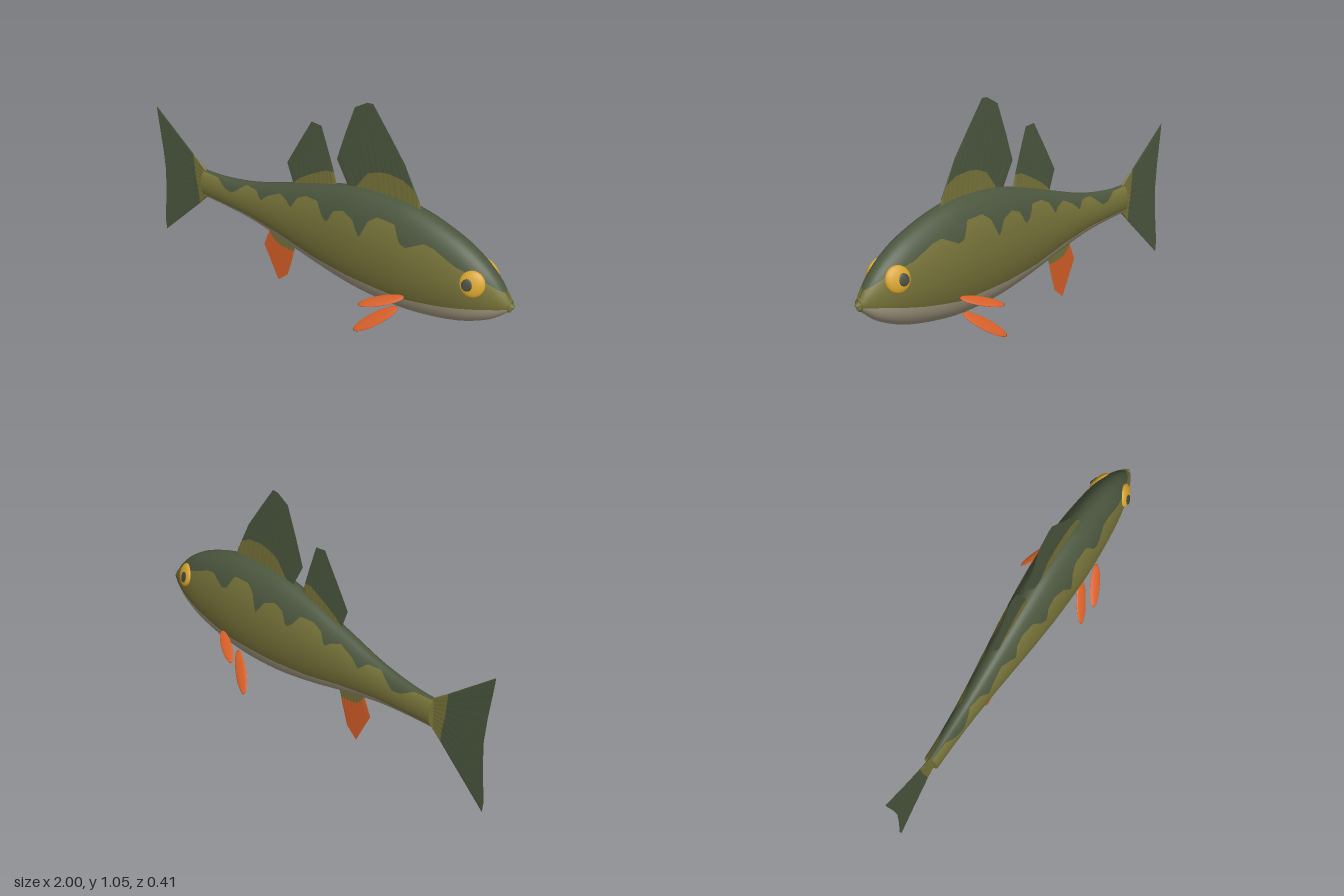
import * as THREE from 'three';

const mat = (name, color, side = THREE.FrontSide) => {
  const m = new THREE.MeshStandardMaterial({ color, side });
  m.name = name;
  return m;
};

// Body stations: x, top, bottom, half width
const BODY = [
  [-0.70, 0.44, 0.30, 0.034], [-0.60, 0.443, 0.296, 0.037], [-0.40, 0.475, 0.278, 0.05],
  [-0.20, 0.535, 0.237, 0.07], [0.0, 0.60, 0.19, 0.091], [0.20, 0.65, 0.155, 0.108],
  [0.37, 0.663, 0.145, 0.115], [0.50, 0.655, 0.15, 0.115], [0.70, 0.598, 0.185, 0.101],
  [0.80, 0.55, 0.217, 0.086], [0.90, 0.475, 0.268, 0.058], [0.96, 0.405, 0.318, 0.031],
  [0.98, 0.375, 0.338, 0.018], [0.995, 0.361, 0.351, 0.005],
];
// Lower edge of the dark back: x, y
const BACK_EDGE = [
  [-0.70, 0.437], [-0.60, 0.435], [-0.54, 0.405], [-0.50, 0.40], [-0.46, 0.43], [-0.42, 0.46],
  [-0.35, 0.463], [-0.31, 0.43], [-0.27, 0.465], [-0.20, 0.50], [-0.15, 0.487], [-0.12, 0.465],
  [-0.09, 0.52], [-0.04, 0.545], [0.03, 0.548], [0.07, 0.497], [0.10, 0.48], [0.13, 0.54],
  [0.18, 0.56], [0.24, 0.54], [0.285, 0.476], [0.32, 0.56], [0.36, 0.59], [0.45, 0.588],
  [0.49, 0.52], [0.52, 0.51], [0.60, 0.55], [0.65, 0.54], [0.75, 0.495], [0.85, 0.47],
  [0.90, 0.445], [0.95, 0.417], [0.995, 0.37],
];
// Upper edge of the pale belly: x, y
const BELLY_EDGE = [
  [-0.70, 0.322], [-0.40, 0.315], [-0.20, 0.293], [0.0, 0.258], [0.20, 0.246], [0.50, 0.247],
  [0.60, 0.265], [0.70, 0.285], [0.80, 0.31], [0.90, 0.335], [0.97, 0.348], [0.995, 0.352],
];

const sampler = (Type, rows) => {
  const f = new Type(rows.map((r) => r[0]), rows.flatMap((r) => r.slice(1)), rows[0].length - 1);
  return (x) => [...f.evaluate(x)];
};

// Elliptical loft whose rings follow the colour borders
function bodyGeometry() {
  const shape = sampler(THREE.CubicInterpolant, BODY);
  const back = sampler(THREE.LinearInterpolant, BACK_EDGE);
  const belly = sampler(THREE.LinearInterpolant, BELLY_EDGE);
  const COLS = 200, BANDS = [8, 10, 7], HALF = 25, RING = HALF * 2;
  const pos = [], groups = [[], [], []];
  for (let i = 0; i <= COLS; i++) {
    const x = -0.7 + 1.695 * (i / COLS);
    const [top, bottom, w] = shape(x);
    const cy = (top + bottom) / 2, ry = (top - bottom) / 2;
    const angle = (y) => Math.acos(THREE.MathUtils.clamp((y - cy) / ry, -0.98, 0.995));
    const stops = [0, angle(back(x)[0]), angle(belly(x)[0]), Math.PI];
    const half = [0];
    BANDS.forEach((n, b) => {
      for (let k = 1; k <= n; k++) half.push(THREE.MathUtils.lerp(stops[b], stops[b + 1], k / n));
    });
    for (let j = 0; j < RING; j++) {
      const a = j <= HALF ? half[j] : 2 * Math.PI - half[RING - j];
      pos.push(x, cy + ry * Math.cos(a), w * Math.sin(a));
    }
  }
  for (let i = 0; i < COLS; i++) {
    for (let j = 0; j < RING; j++) {
      const row = j < HALF ? j : RING - 1 - j;
      const band = row < BANDS[0] ? 0 : row < BANDS[0] + BANDS[1] ? 1 : 2;
      const a = i * RING + j, b = i * RING + ((j + 1) % RING);
      groups[band].push(a, b, a + RING, b, b + RING, a + RING);
    }
  }
  const g = new THREE.BufferGeometry();
  g.setAttribute('position', new THREE.Float32BufferAttribute(pos, 3));
  g.setIndex(groups.flat());
  let start = 0;
  groups.forEach((list, b) => { g.addGroup(start, list.length, b); start += list.length; });
  g.computeVertexNormals();
  return g;
}

// Thin rippled fin; each column is [root x, y, colour border x, y, tip x, y]
function makeFin(name, columns, rootMat, tipMat) {
  const SUB = 6, ROWS = 4, n = (columns.length - 1) * SUB;
  const group = new THREE.Group();
  group.name = name;
  [[0, rootMat, 'Root'], [2, tipMat, 'Web']].forEach(([o, material, suffix]) => {
    const pos = [], idx = [];
    for (const side of [1, -1]) {
      const first = pos.length / 3;
      for (let i = 0; i <= n; i++) {
        const c = Math.min(Math.floor(i / SUB), columns.length - 2), f = i / SUB - c;
        const p = columns[c].map((v, k) => THREE.MathUtils.lerp(v, columns[c + 1][k], f));
        for (let r = 0; r <= ROWS; r++) {
          const t = r / ROWS, along = (o / 2 + t) / 2;
          const ripple = 0.8 + 0.2 * Math.cos((i / SUB) * 4 * Math.PI);
          const z = i % n === 0 ? 0 : (0.006 * (1 - along) + 0.0005) * ripple;
          pos.push(THREE.MathUtils.lerp(p[o], p[o + 2], t), THREE.MathUtils.lerp(p[o + 1], p[o + 3], t), side * z);
          if (i < n && r < ROWS) {
            const a = first + i * (ROWS + 1) + r, b = a + ROWS + 1;
            idx.push(a, b, a + 1, b, b + 1, a + 1);
          }
        }
      }
    }
    const g = new THREE.BufferGeometry();
    g.setAttribute('position', new THREE.Float32BufferAttribute(pos, 3));
    g.setIndex(idx);
    g.computeVertexNormals();
    const mesh = new THREE.Mesh(g, material);
    mesh.name = name + suffix;
    group.add(mesh);
  });
  return group;
}

// Flattened leaf from root to tip, lying broad along x
function makeLeafFin(name, root, tip, halfWidth, material) {
  const a = new THREE.Vector3(...root), b = new THREE.Vector3(...tip);
  const along = b.clone().sub(a), len = along.length();
  along.normalize();
  const normal = along.clone().cross(new THREE.Vector3(1, 0, 0)).normalize();
  const across = normal.clone().cross(along);
  const mesh = new THREE.Mesh(new THREE.SphereGeometry(1, 20, 14), material);
  mesh.name = name;
  mesh.scale.set(len / 2, halfWidth, 0.006);
  mesh.quaternion.setFromRotationMatrix(new THREE.Matrix4().makeBasis(along, across, normal));
  mesh.position.copy(a).add(b).multiplyScalar(0.5);
  return mesh;
}

export function createModel() {
  const dark = mat('darkGreen', 0x4c573f, THREE.DoubleSide);
  const olive = mat('olive', 0x77733a, THREE.DoubleSide);
  const cream = mat('paleBelly', 0xb0a58c);
  const orange = mat('orange', 0xd65f28, THREE.DoubleSide);
  const yellow = mat('eyeYellow', 0xd6a32e);
  const slate = mat('pupilSlate', 0x434a3e);
  const fish = new THREE.Group();
  fish.name = 'fish';

  const body = new THREE.Mesh(bodyGeometry(), [dark, olive, cream]);
  body.name = 'body';
  const tailCap = new THREE.Mesh(new THREE.CircleGeometry(1, 32), olive);
  tailCap.name = 'tailCap';
  tailCap.rotation.y = -Math.PI / 2;
  tailCap.scale.set(0.034, 0.07, 1);
  tailCap.position.set(-0.7, 0.37, 0);
  const lips = new THREE.Mesh(new THREE.TorusGeometry(0.017, 0.005, 10, 28), olive);
  lips.name = 'lips';
  lips.rotation.y = Math.PI / 2;
  lips.scale.y = 1.35;
  lips.position.set(0.976, 0.357, 0);
  fish.add(body, tailCap, lips);

  // Upright fins
  fish.add(makeFin('frontDorsalFin', [
    [0.16, 0.60, 0.16, 0.61, 0.085, 0.745], [0.20, 0.62, 0.20, 0.66, 0.125, 0.87],
    [0.25, 0.62, 0.25, 0.73, 0.177, 1.015], [0.33, 0.62, 0.31, 0.755, 0.24, 1.053],
    [0.38, 0.62, 0.36, 0.762, 0.27, 1.055], [0.45, 0.62, 0.43, 0.757, 0.36, 0.935],
    [0.50, 0.62, 0.485, 0.73, 0.437, 0.83], [0.53, 0.62, 0.52, 0.67, 0.515, 0.68],
  ], olive, dark));
  fish.add(makeFin('rearDorsalFin', [
    [-0.155, 0.50, -0.16, 0.55, -0.193, 0.64], [-0.11, 0.50, -0.115, 0.59, -0.125, 0.76],
    [-0.05, 0.52, -0.06, 0.625, -0.053, 0.882], [0.0, 0.54, -0.005, 0.655, 0.0, 0.877],
    [0.05, 0.56, 0.035, 0.675, 0.045, 0.75], [0.10, 0.56, 0.07, 0.675, 0.068, 0.68],
  ], olive, dark));
  fish.add(makeFin('tailFin', [
    [-0.69, 0.30, -0.745, 0.245, -0.985, 0.015], [-0.69, 0.31, -0.745, 0.27, -0.99, 0.07],
    [-0.69, 0.34, -0.75, 0.32, -0.973, 0.22], [-0.69, 0.37, -0.76, 0.37, -0.965, 0.355],
    [-0.69, 0.40, -0.765, 0.42, -0.975, 0.48], [-0.69, 0.43, -0.77, 0.475, -0.993, 0.62],
    [-0.69, 0.44, -0.77, 0.50, -1.0, 0.685],
  ], olive, dark));
  fish.add(makeFin('analFin', [
    [-0.30, 0.29, -0.305, 0.25, -0.34, 0.165], [-0.26, 0.28, -0.265, 0.205, -0.298, 0.083],
    [-0.22, 0.27, -0.23, 0.195, -0.257, 0.0], [-0.18, 0.26, -0.185, 0.19, -0.20, 0.05],
    [-0.14, 0.25, -0.16, 0.19, -0.165, 0.165],
  ], olive, orange));

  // Paired fins and eyes
  for (const s of [1, -1]) {
    const prefix = s > 0 ? 'left' : 'right';
    fish.add(makeLeafFin(prefix + 'PectoralFin', [0.53, 0.275, s * 0.108], [0.355, 0.215, s * 0.20], 0.026, orange));
    fish.add(makeLeafFin(prefix + 'PelvicFin', [0.47, 0.175, s * 0.065], [0.31, 0.048, s * 0.17], 0.03, orange));

    const eye = new THREE.Group();
    eye.name = prefix + 'Eye';
    const ball = new THREE.Mesh(new THREE.SphereGeometry(1, 28, 18), yellow);
    ball.name = prefix + 'Iris';
    ball.scale.set(0.055, 0.057, 0.02);
    const pupil = new THREE.Mesh(new THREE.SphereGeometry(1, 20, 12), slate);
    pupil.name = prefix + 'Pupil';
    pupil.scale.set(0.024, 0.026, 0.005);
    pupil.position.set(s * -0.018, -0.004, 0.0175);
    eye.add(ball, pupil);
    eye.position.set(0.832, 0.44, s * 0.07);
    eye.quaternion.setFromRotationMatrix(new THREE.Matrix4().lookAt(
      new THREE.Vector3(0.3, 0.3, s * 0.9), new THREE.Vector3(), new THREE.Vector3(0, 1, 0)));
    fish.add(eye);
  }
  return fish;
}
